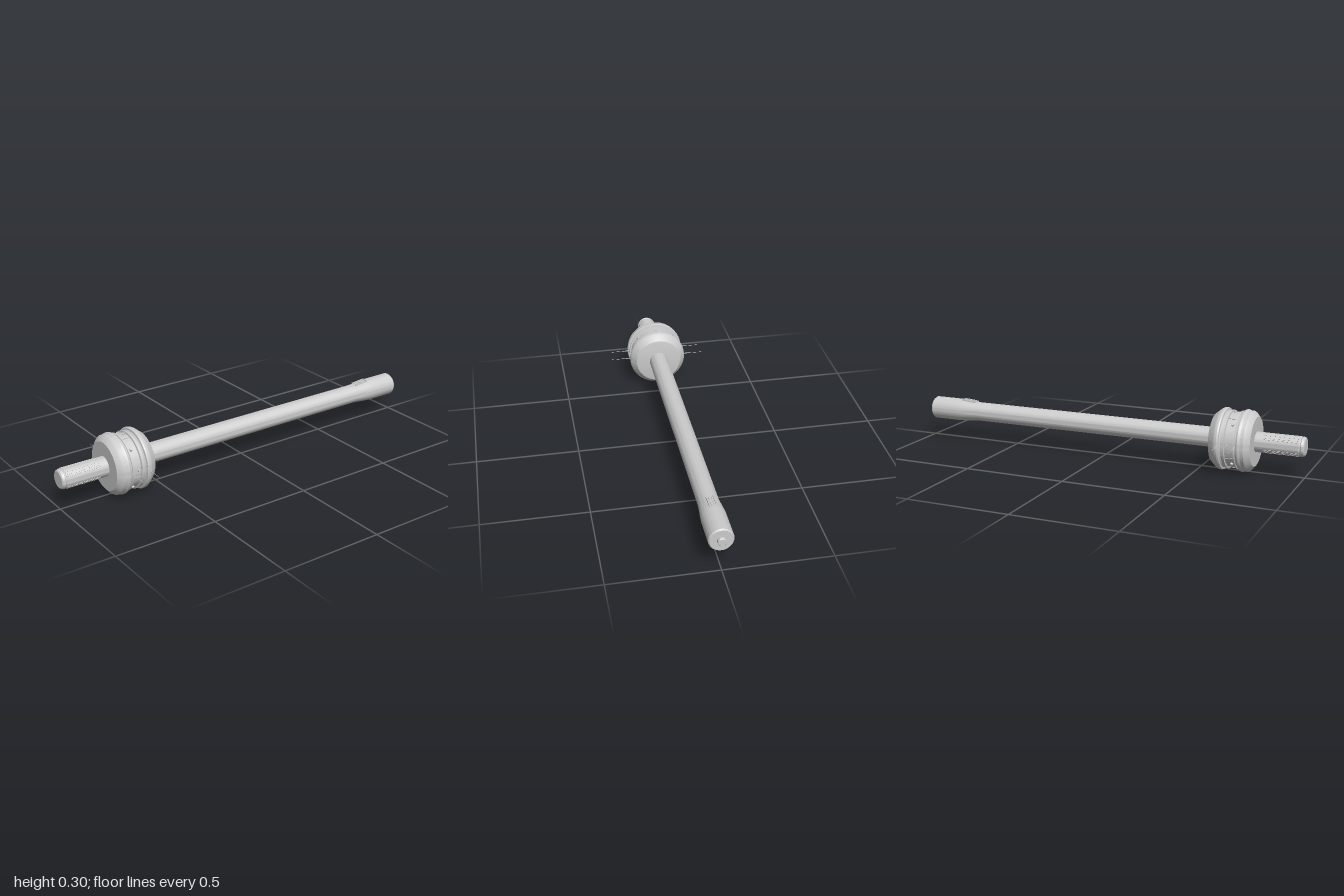
import * as THREE from 'three';
import { toCreasedNormals } from 'three/addons/utils/BufferGeometryUtils.js';

const grey = new THREE.MeshStandardMaterial({ color: 0xcccccc });

// Turned solid along z from [radius, z] pairs, listed back to front
function turned(profile, segments = 64) {
  const points = profile.map(([r, z]) => new THREE.Vector2(r, z));
  const geometry = new THREE.LatheGeometry(points, segments).rotateX(Math.PI / 2);
  return toCreasedNormals(geometry, 0.45);
}

export function createModel() {
  const model = new THREE.Group();
  const core = new THREE.Group();
  core.name = 'body';
  core.position.y = 0.148;
  model.add(core);

  function add(name, geometry, parent = core) {
    const mesh = new THREE.Mesh(geometry, grey);
    mesh.name = name;
    parent.add(mesh);
    return mesh;
  }

  // Long handle flaring into the pommel
  add('handle', turned([
    [0, -0.985], [0.052, -0.985], [0.057, -0.978], [0.057, -0.83],
    [0.055, -0.8], [0.051, -0.76], [0.048, -0.72], [0.048, 0.6],
  ]));
  add('pommelButton', turned([
    [0, -1], [0.017, -1], [0.02, -0.997], [0.02, -0.98],
  ], 32));

  // Front spindle with a chamfered tip
  add('spindle', turned([
    [0.048, 0.72], [0.048, 0.975], [0.045, 0.978], [0.045, 0.982],
    [0.048, 0.985], [0.044, 0.996], [0.038, 1], [0, 1],
  ]));

  // Head: two bevelled flanges around a recessed band
  add('head', turned([
    [0, 0.565], [0.11, 0.565], [0.118, 0.567], [0.141, 0.594],
    [0.147, 0.604], [0.148, 0.615], [0.145, 0.622], [0.136, 0.624],
    [0.13, 0.63], [0.13, 0.638], [0.139, 0.64], [0.139, 0.647],
    [0.13, 0.649], [0.13, 0.688], [0.139, 0.69], [0.139, 0.696],
    [0.134, 0.698], [0.134, 0.704], [0.145, 0.706], [0.148, 0.714],
    [0.146, 0.722], [0.143, 0.726], [0.143, 0.742], [0.138, 0.75],
    [0.117, 0.767], [0, 0.767],
  ], 96));

  // Rivets and narrow panel bars around the band
  for (let i = 0; i < 8; i++) {
    const spoke = new THREE.Group();
    spoke.name = 'bandFitting';
    spoke.rotation.z = (i * Math.PI) / 4;
    core.add(spoke);
    const rivet = add('rivet', new THREE.CylinderGeometry(0.007, 0.008, 0.012, 16), spoke);
    rivet.position.set(0, 0.132, i % 2 ? 0.677 : 0.66);
    const bar = add('bandBar', new THREE.BoxGeometry(0.004, 0.005, 0.042), spoke);
    bar.position.set(0.035, 0.125, 0.668);
    bar.rotation.z = -0.27;
  }

  // Fine needles at both sides of the head
  const needle = new THREE.LatheGeometry([
    [0.004, 0.135], [0.0025, 0.15], [0.0012, 0.18], [0.0005, 0.248], [0, 0.25],
  ].map(([r, y]) => new THREE.Vector2(r, y)), 8);
  for (const side of [-1, 1]) {
    for (const z of [0.622, 0.705]) {
      const mesh = add('needle', needle);
      mesh.rotation.z = -side * Math.PI / 2;
      mesh.position.z = z;
    }
  }

  // Four inset-looking vent panels on the spindle, each with a row of slats
  for (let i = 0; i < 4; i++) {
    const panel = new THREE.Group();
    panel.name = 'ventPanel';
    panel.rotation.z = Math.PI / 4 + (i * Math.PI) / 2;
    core.add(panel);
    for (const side of [-1, 1]) {
      const rail = add('ventRail', new THREE.BoxGeometry(0.0025, 0.004, 0.165), panel);
      rail.position.set(side * 0.011, 0.046, 0.892);
    }
    for (let j = 0; j < 6; j++) {
      const slat = add('ventSlat', new THREE.BoxGeometry(0.009, 0.004, 0.018), panel);
      slat.position.set(0, 0.0475, 0.825 + j * 0.027);
    }
    for (const z of [0.81, 0.974]) {
      const end = add('ventEnd', new THREE.BoxGeometry(0.022, 0.004, 0.003), panel);
      end.position.set(0, 0.0465, z);
    }
  }

  // Framed switch on top of the flare
  const control = new THREE.Group();
  control.name = 'switch';
  control.position.set(0, 0.052, -0.778);
  control.rotation.x = 0.09;
  core.add(control);
  for (const side of [-1, 1]) {
    add('switchRail', new THREE.BoxGeometry(0.004, 0.008, 0.08), control).position.x = side * 0.016;
    add('switchRib', new THREE.BoxGeometry(0.003, 0.006, 0.066), control).position.x = side * 0.006;
  }
  add('switchBridge', new THREE.BoxGeometry(0.03, 0.006, 0.006), control);
  add('switchEnd', new THREE.BoxGeometry(0.036, 0.008, 0.004), control).position.z = -0.038;

  return model;
}
